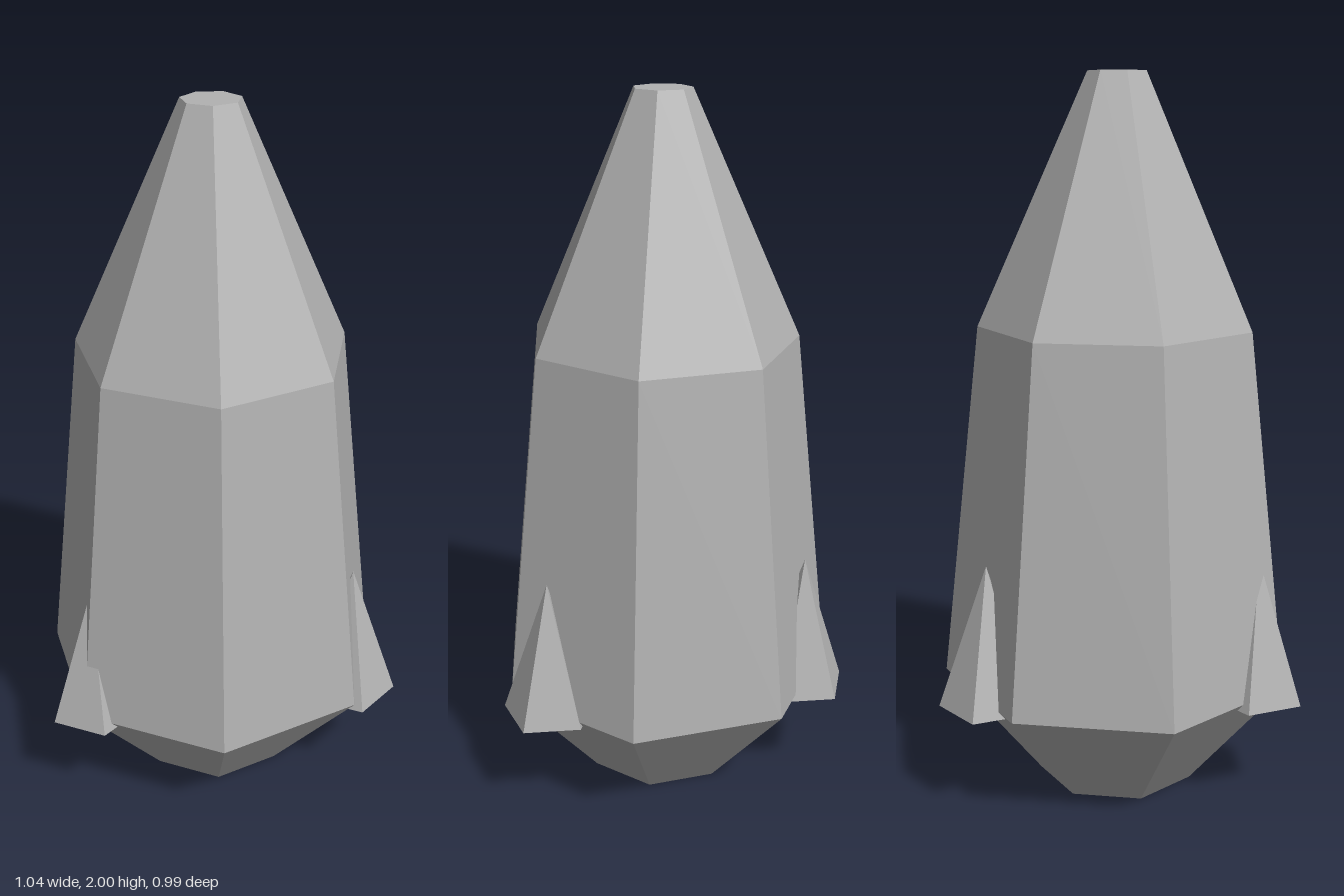
import * as THREE from 'three';

export function createModel() {
  const group = new THREE.Group();
  group.name = 'crystal';

  const stone = new THREE.MeshStandardMaterial({ color: 0xb2b2b2 });
  stone.name = 'grey stone';
  stone.flatShading = true;

  // Centre of the main shard, slightly off the origin
  const cx = -0.038, cz = 0.012;

  function addPart(name, geometry, x, y, z) {
    const flat = geometry.toNonIndexed();
    flat.computeVertexNormals();
    const mesh = new THREE.Mesh(flat, stone);
    mesh.name = name;
    mesh.position.set(x, y, z);
    group.add(mesh);
  }

  // Seven-sided main shard, closed at both ends, one corner to the back
  const profile = [[0, 0], [0.225, 0], [0.497, 0.32], [0.386, 1.32], [0.0815, 2], [0, 2]]
    .map(([r, y]) => new THREE.Vector2(r, y));
  addPart('mainShard', new THREE.LatheGeometry(profile, 7, Math.PI), cx, 0, cz);

  // Three five-sided spikes spaced evenly around the foot
  const names = ['leftSpike', 'frontRightSpike', 'backRightSpike'];
  names.forEach((name, i) => {
    const a = (i * Math.PI * 2) / 3;
    const spike = new THREE.ConeGeometry(0.136, 0.4, 5, 1, false, Math.PI);
    addPart(name, spike, cx + 0.43 * Math.cos(a), 0.5, cz + 0.43 * Math.sin(a));
  });

  return group;
}
